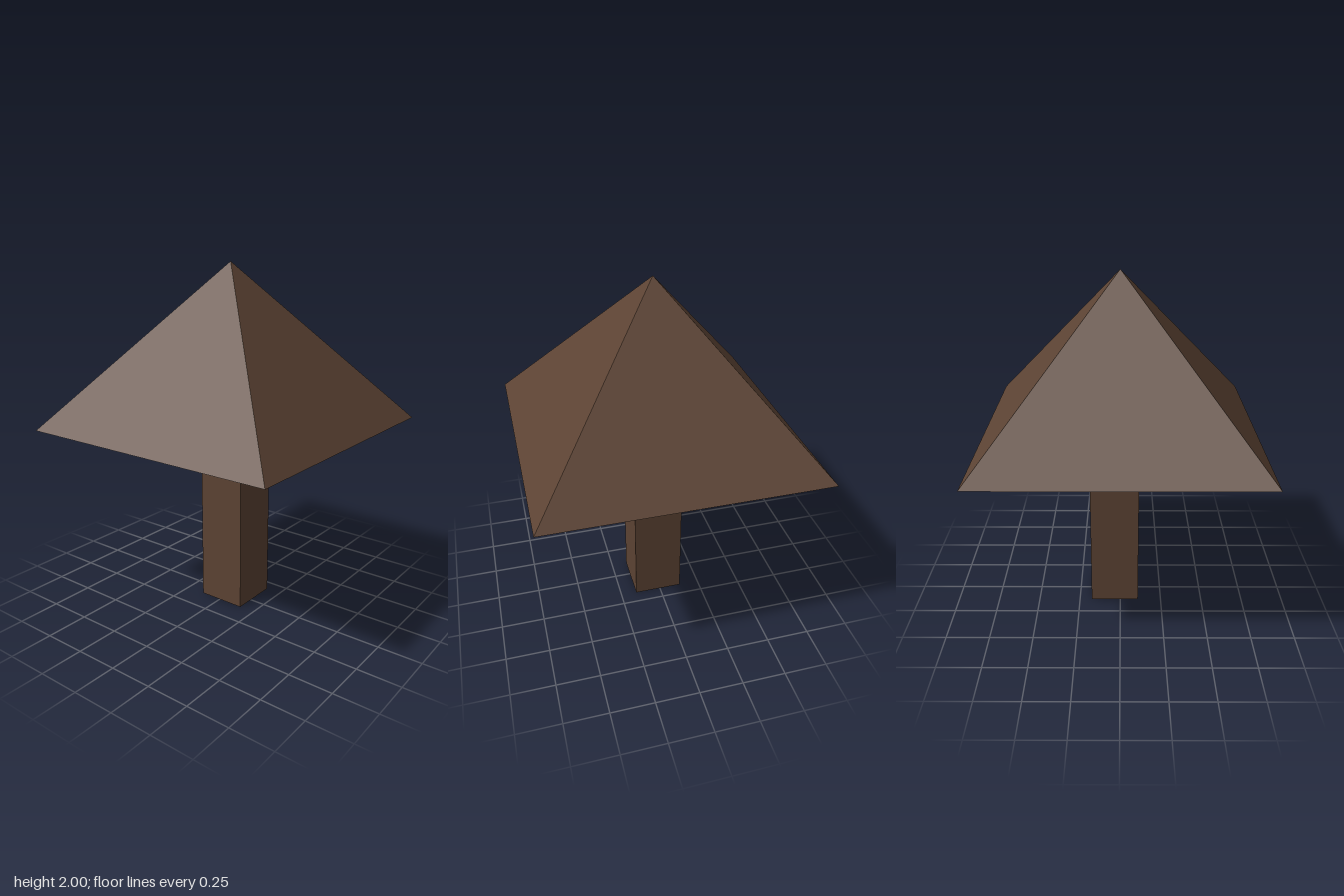
import * as THREE from 'three';

const ROOF_HALF = 0.777;
const ROOF_BASE = 1.085;
const ROOF_TOP = 2;
const POST_WIDTH = 0.285;

export function createModel() {
  const model = new THREE.Group();
  const brown = new THREE.MeshStandardMaterial({ color: 0x5c4333 });
  brown.name = 'darkBrown';

  // Square pyramid with flat faces and a closed underside
  const height = ROOF_TOP - ROOF_BASE;
  const pyramid = new THREE.ConeGeometry(ROOF_HALF * Math.SQRT2, height, 4, 1, false, Math.PI / 4).toNonIndexed();
  pyramid.computeVertexNormals();
  const roof = new THREE.Mesh(pyramid, brown);
  roof.name = 'pyramidTop';
  roof.position.y = ROOF_BASE + height / 2;
  model.add(roof);

  // Square post, set slightly off centre
  const post = new THREE.Mesh(new THREE.BoxGeometry(POST_WIDTH, ROOF_BASE, POST_WIDTH), brown);
  post.name = 'post';
  post.position.set(0.012, ROOF_BASE / 2, -0.034);
  model.add(post);

  return model;
}
